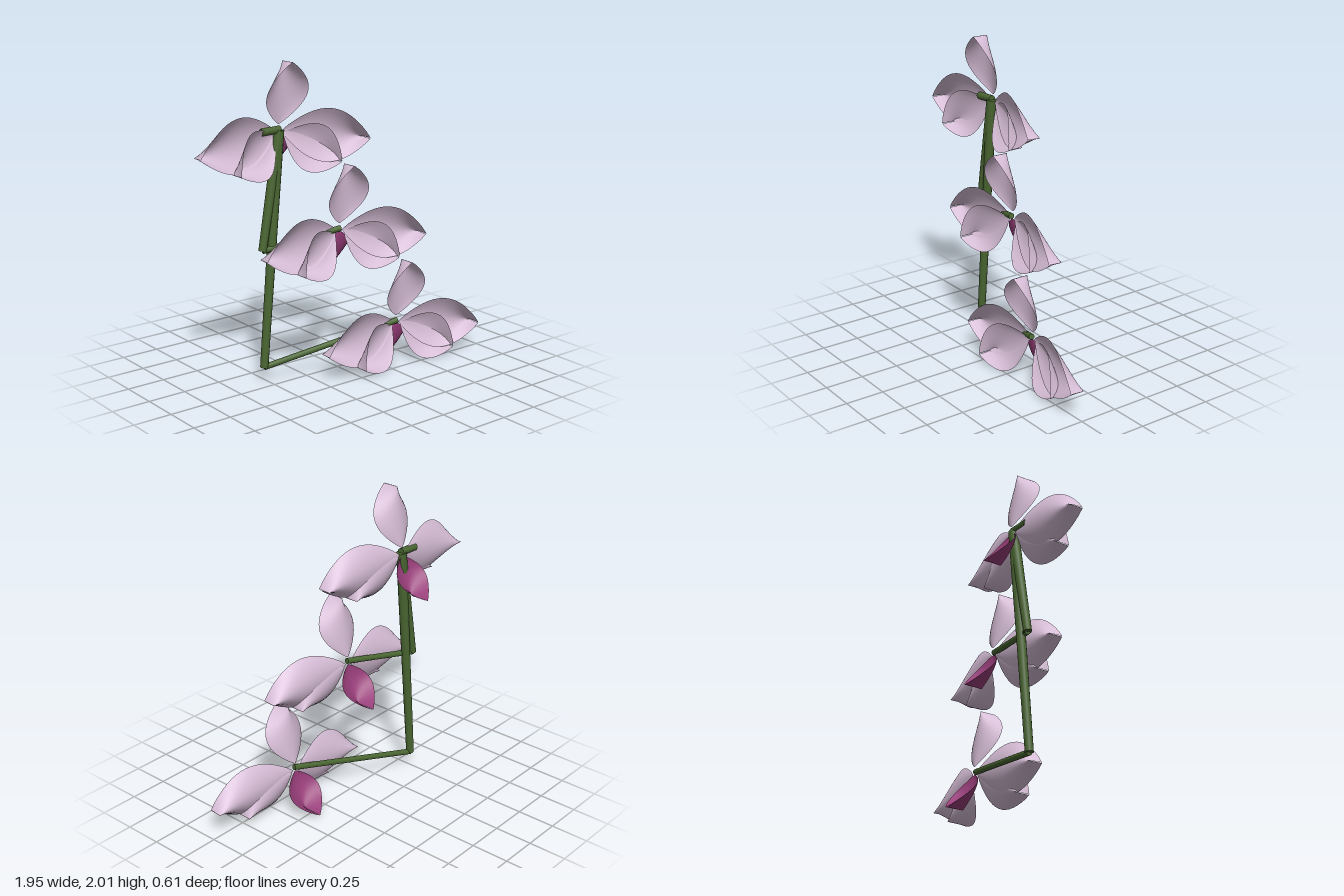
import * as THREE from 'three';

const petalMat = new THREE.MeshStandardMaterial({ color: 0xd8bfd8, side: THREE.DoubleSide });
petalMat.name = 'pale lilac';
const lipMat = new THREE.MeshStandardMaterial({ color: 0x9a3f7c, side: THREE.DoubleSide });
lipMat.name = 'magenta';
const stemMat = new THREE.MeshStandardMaterial({ color: 0x4a6632 });
stemMat.name = 'stem green';

// Cupped sheet growing along +y: width swells then closes, the edges lift toward +z
function petalGeometry({ base, tip, half, bend, bendPower, cup }) {
  const geo = new THREE.PlaneGeometry(2, 1, 12, 16);
  const p = geo.attributes.position;
  for (let i = 0; i < p.count; i++) {
    const u = p.getX(i);
    const t = p.getY(i) + 0.5;
    const w = half * Math.pow(Math.max(Math.sin(Math.PI * t), 0), 0.88) + 0.002;
    p.setXYZ(i, u * w, base + (tip - base) * t, bend * Math.pow(t, bendPower) + cup(t) * u * u);
  }
  geo.computeVertexNormals();
  return geo;
}

const rise = (t) => Math.sin((t * Math.PI) / 2);
const sepalGeo = petalGeometry({ base: 0.04, tip: 0.43, half: 0.15, bend: 0.045, bendPower: 1, cup: (t) => 0.105 * rise(t) });
const wingGeo = petalGeometry({ base: 0.02, tip: 0.605, half: 0.165, bend: 0.03, bendPower: 1, cup: (t) => 0.09 * rise(t) });
const lipGeo = petalGeometry({ base: 0.01, tip: 0.26, half: 0.125, bend: 0.085, bendPower: 2, cup: (t) => 0.125 * t });

function addMesh(parent, name, geo, mat) {
  const mesh = new THREE.Mesh(geo, mat);
  mesh.name = name;
  parent.add(mesh);
  return mesh;
}

function createFlower() {
  const flower = new THREE.Group();
  flower.name = 'flower';

  // Three equal sepals
  ['topSepal', 'rightSepal', 'leftSepal'].forEach((name, i) => {
    addMesh(flower, name, sepalGeo, petalMat).rotation.z = (i * Math.PI * 2) / 3;
  });

  // Two broad side petals, the pair turned slightly
  const wings = new THREE.Group();
  wings.name = 'sidePetals';
  wings.rotation.y = -0.075;
  for (const side of [-1, 1]) {
    const wing = addMesh(wings, side < 0 ? 'rightPetal' : 'leftPetal', wingGeo, petalMat);
    wing.rotation.z = -side * (Math.PI / 2 + 0.155);
  }
  flower.add(wings);

  // Lip hanging down behind
  addMesh(flower, 'lip', lipGeo, lipMat).rotation.x = Math.PI;
  return flower;
}

// Tapered rod between two points
function addRod(parent, name, a, b, r0, r1) {
  const dir = b.clone().sub(a);
  const rod = addMesh(parent, name, new THREE.CylinderGeometry(r1, r0, dir.length(), 12), stemMat);
  rod.position.copy(a).addScaledVector(dir, 0.5);
  rod.quaternion.setFromUnitVectors(new THREE.Vector3(0, 1, 0), dir.normalize());
}

export function createModel() {
  const model = new THREE.Group();
  model.name = 'flowerSpray';
  const top = new THREE.Vector3(-0.38, 1.575, -0.09);
  const joints = [1.575, 0.84, 0.085];

  joints.forEach((y, i) => {
    const center = new THREE.Vector3(-0.375 + 0.375 * i, 1.57 - 0.655 * i, -0.1 + 0.12 * i);
    const flower = createFlower();
    flower.position.copy(center);
    model.add(flower);

    // Flower stalk from its joint, and main stem from the joint to the top
    const joint = new THREE.Vector3(-0.513, y, -0.09);
    const end = center.clone().add(new THREE.Vector3(0, 0.01, 0.01));
    const r = i === 0 ? 0.024 : 0.019;
    addRod(model, 'flowerStalk', joint, end, r, r);
    if (i > 0) addRod(model, 'mainStem', joint, top, 0.026, 0.033);
  });
  return model;
}
